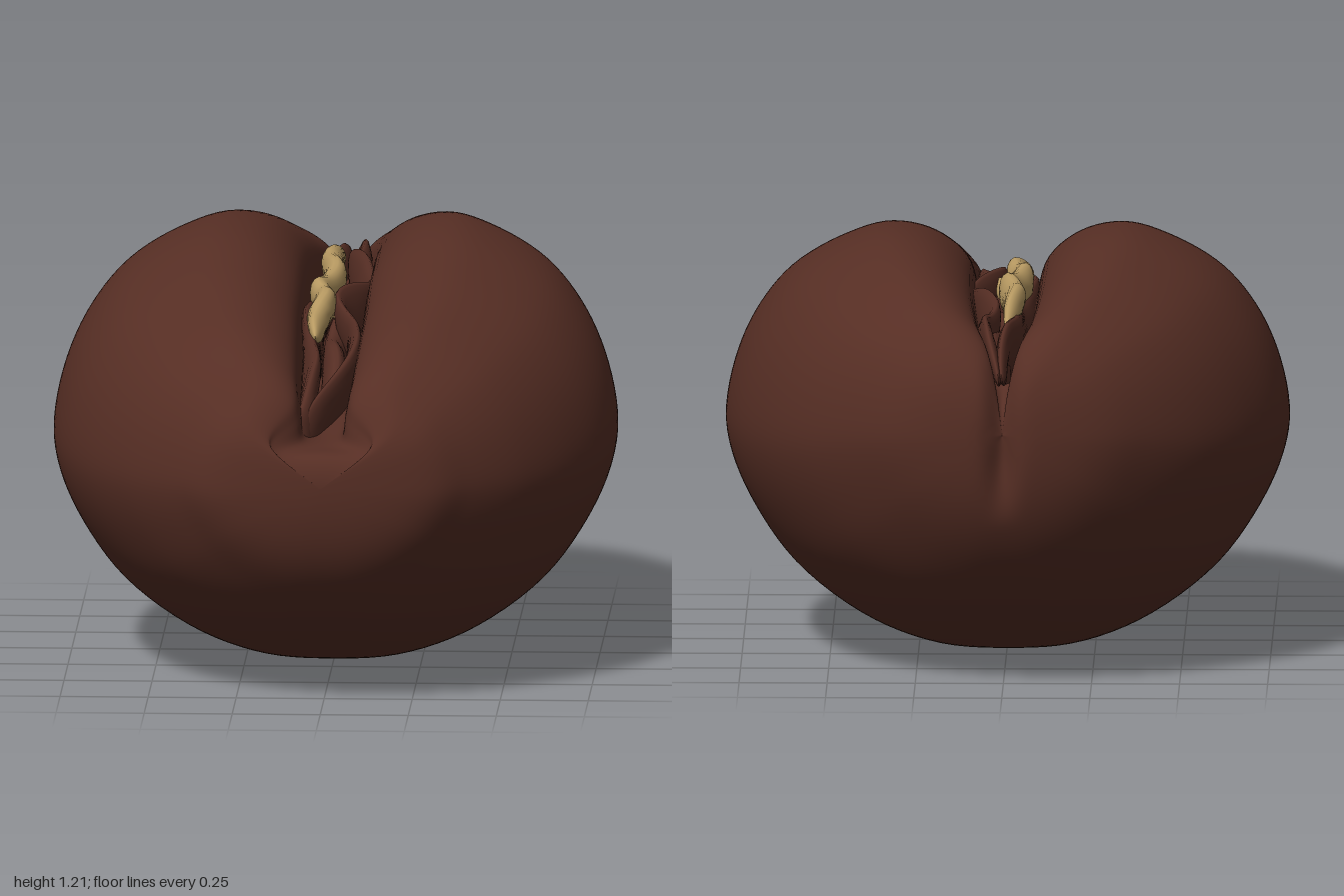
import * as THREE from 'three';

const lerp = THREE.MathUtils.lerp;

// Smooth function of t (0..1) through evenly spaced values
function track(values) {
  const n = values.length;
  const all = [2 * values[0] - values[1], ...values, 2 * values[n - 1] - values[n - 2]];
  const curve = new THREE.SplineCurve(all.map((v, i) => new THREE.Vector2(i, v)));
  return (t) => curve.getPoint((1 + t * (n - 1)) / (n + 1)).y;
}

// Skin joining closed rings that run from front to back
function loft(rings) {
  const m = rings[0].length;
  const positions = [], index = [];
  rings.forEach((ring) => ring.forEach((p) => positions.push(p.x, p.y, p.z)));
  for (let i = 0; i < rings.length - 1; i++) {
    for (let j = 0; j < m; j++) {
      const a = i * m + j, b = i * m + (j + 1) % m;
      const c = a + m, d = b + m;
      index.push(a, c, b, b, c, d);
    }
  }
  const geometry = new THREE.BufferGeometry();
  geometry.setAttribute('position', new THREE.Float32BufferAttribute(positions, 3));
  geometry.setIndex(index);
  geometry.computeVertexNormals();
  return geometry;
}

// Body measurements at equal angles from the front tip to the back tip
const halfWidth = track([0, 0.28, 0.425, 0.575, 0.695, 0.775, 0.8, 0.775, 0.695, 0.575, 0.42, 0.25, 0]);
const topY = track([0.65, 0.79, 0.92, 1.02, 1.09, 1.155, 1.203, 1.21, 1.175, 1.115, 1.04, 0.92, 0.75]);
const bottomY = track([0.65, 0.46, 0.31, 0.18, 0.085, 0.025, 0, 0.02, 0.085, 0.2, 0.36, 0.54, 0.75]);
const grooveY = track([0.65, 0.735, 0.75, 0.76, 0.78, 0.8, 0.82, 0.82, 0.82, 0.84, 0.88, 0.83, 0.75]);
const grooveHalf = track([0, 0.14, 0.07, 0.07, 0.075, 0.08, 0.08, 0.08, 0.075, 0.06, 0.035, 0.015, 0]);

// One cross-section: rounded belly, two lobes and the groove between them
function bodyRing(t, samples) {
  const w = halfWidth(t), top = topY(t), bottom = bottomY(t), floor = grooveY(t), g = grooveHalf(t);
  const waist = lerp(bottom, top, 0.55);
  const lobe = Math.max(0.39 * w, g + 0.35 * (w - g));
  const belly = [[0, 1], [0.25, 0.977], [0.5, 0.865], [0.75, 0.64], [0.9, 0.39], [0.98, 0.17], [1, 0]];
  const shoulder = [[0.934, 0.3], [0.795, 0.56], [0.59, 0.77], [0.28, 0.93], [0, 1]];
  const wall = [[0.5, 0.93], [0.13, 0.72], [0, 0.4]];
  const half = [
    ...belly.map(([u, v]) => [u * w, lerp(waist, bottom, v)]),
    ...shoulder.map(([u, v]) => [lerp(lobe, w, u), lerp(waist, top, v)]),
    ...wall.map(([u, v]) => [lerp(g, lobe, u), lerp(floor, top, v)]),
    [g * 0.8, lerp(floor, top, 0.08)],
    [0, floor],
  ];
  const mirrored = half.slice(1, -1).reverse().map(([x, y]) => [-x, y]);
  const z = Math.cos(t * Math.PI);
  const curve = new THREE.CatmullRomCurve3(
    [...half, ...mirrored].map(([x, y]) => new THREE.Vector3(x, y, z)), true, 'centripetal');
  const ring = [];
  for (let j = 0; j < samples; j++) {
    const p = curve.getPoint(j / samples);
    // Crease running down the back tip
    if (p.z < 0) {
      const reach = THREE.MathUtils.smoothstep(-p.z, 0.85, 0.97) * THREE.MathUtils.smoothstep(p.y, 0.48, 0.7);
      p.z = p.z * 1.01 + 0.045 * reach * Math.exp(-((p.x / 0.04) ** 2));
    }
    ring.push(p);
  }
  return ring;
}

// Crumpled, tapered sheet following a path inside the groove
function foldGeometry(path, rx, ry, roll, phase) {
  const curve = new THREE.CatmullRomCurve3(path.map((p) => new THREE.Vector3(...p)));
  const rings = [], steps = 90, sides = 16;
  for (let i = 0; i <= steps; i++) {
    const t = i / steps;
    const c = curve.getPoint(t);
    const taper = Math.min(1, Math.sqrt(Math.sin(Math.PI * t) * 1.8 + 1e-6));
    const tilt = roll * Math.sin(t * 17 + phase);
    const height = ry * taper * (1 + 0.12 * Math.sin(t * 29 + phase));
    const ring = [];
    for (let j = 0; j < sides; j++) {
      const a = (j / sides) * Math.PI * 2;
      const x = Math.cos(a) * rx * taper, y = Math.sin(a) * height;
      ring.push(new THREE.Vector3(
        c.x + x * Math.cos(tilt) - y * Math.sin(tilt),
        c.y + x * Math.sin(tilt) + y * Math.cos(tilt),
        c.z));
    }
    rings.push(ring);
  }
  return loft(rings);
}

export function createModel() {
  const roast = new THREE.MeshStandardMaterial({ color: 0x562e24 });
  roast.name = 'roastedBrown';
  const husk = new THREE.MeshStandardMaterial({ color: 0xb89a62 });
  husk.name = 'paleHusk';

  const model = new THREE.Group();
  model.name = 'roastedBean';
  const add = (name, geometry, material) => {
    const mesh = new THREE.Mesh(geometry, material);
    mesh.name = name;
    model.add(mesh);
  };

  // Bean body
  const rings = [];
  for (let i = 0; i <= 120; i++) rings.push(bodyRing(i / 120, 168));
  add('beanBody', loft(rings), roast);

  // Dark folds inside the groove
  add('leftFold', foldGeometry([
    [-0.1, 0.73, 0.87], [-0.06, 0.76, 0.8], [-0.05, 0.84, 0.6], [-0.05, 0.9, 0.4], [-0.06, 0.92, 0.1],
    [-0.05, 0.92, -0.2], [-0.03, 0.94, -0.5], [0, 0.96, -0.75], [0, 0.9, -0.93],
  ], 0.025, 0.09, 0.2, 0), roast);
  add('rightFold', foldGeometry([
    [-0.06, 0.74, 0.84], [-0.02, 0.8, 0.7], [0.05, 0.86, 0.5], [0.07, 0.92, 0.3], [0.03, 0.95, 0.1],
    [0.08, 0.95, -0.1], [0.06, 0.97, -0.35], [0.04, 0.96, -0.5], [0.06, 0.95, -0.65],
    [0.03, 0.95, -0.8], [0.01, 0.9, -0.94],
  ], 0.024, 0.1, 0.22, 1.5), roast);
  add('innerFold', foldGeometry([
    [0.01, 0.8, 0.6], [0.01, 0.86, 0.3], [0.02, 0.9, 0], [0.02, 0.9, -0.3], [0.02, 0.9, -0.6], [0.01, 0.9, -0.85],
  ], 0.035, 0.08, 0.25, 3), roast);

  // Pale husk along the groove, with a small scrap beside it
  add('husk', foldGeometry([
    [-0.04, 0.98, 0.42], [-0.04, 1.0, 0.25], [-0.025, 1.02, 0.1], [-0.04, 1.02, 0],
    [-0.012, 1.03, -0.2], [-0.025, 1.04, -0.4], [-0.01, 1.01, -0.66],
  ], 0.033, 0.055, 0.25, 0.6), husk);
  add('huskScrap', foldGeometry([
    [0, 0.98, 0.1], [0.02, 1.01, 0.05], [0.02, 1.01, 0.01], [0.01, 0.98, -0.04],
  ], 0.015, 0.025, 0.2, 2), husk);

  return model;
}
